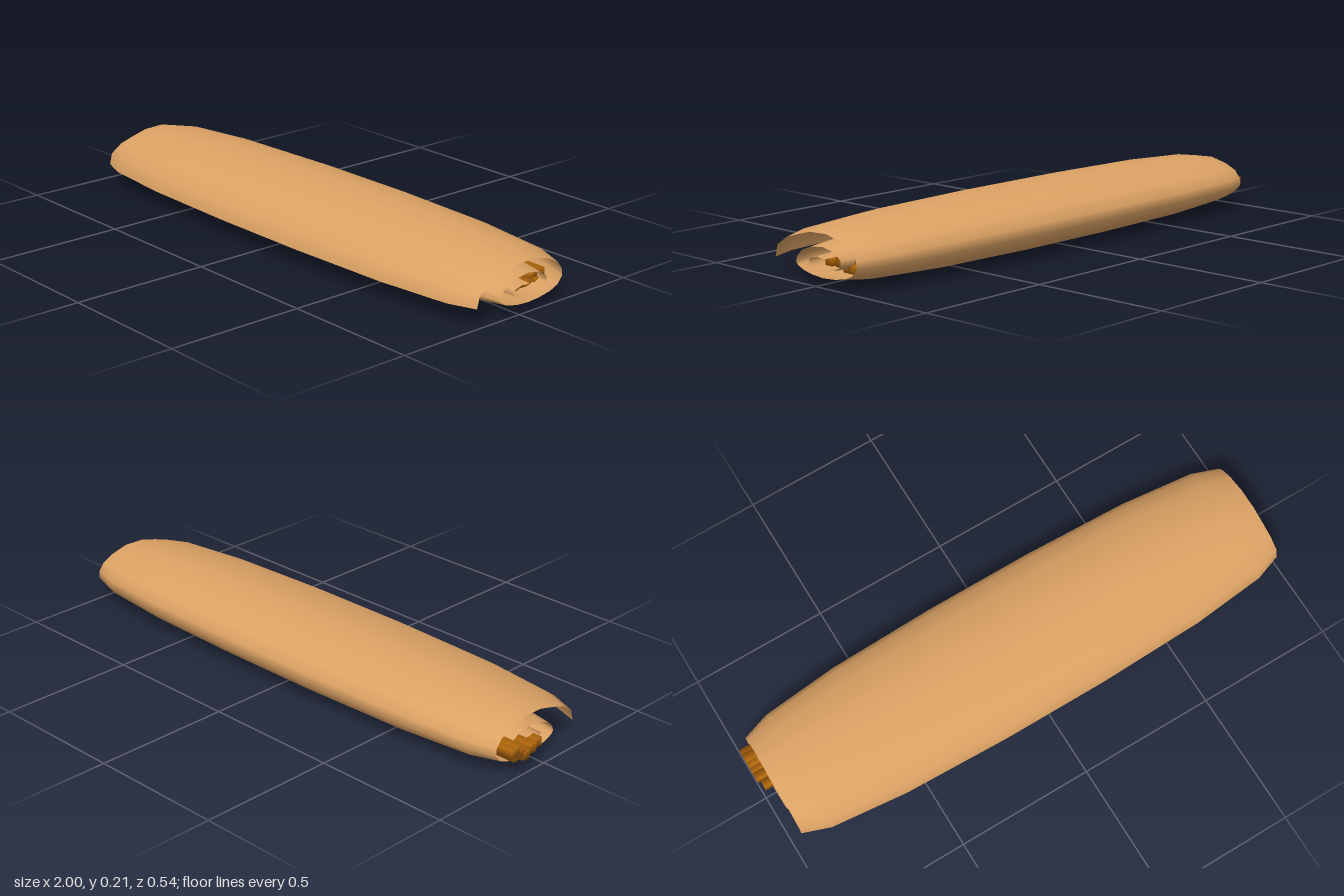
import * as THREE from 'three';
import { mergeVertices } from 'three/addons/utils/BufferGeometryUtils.js';

// Spiral cross-section of the rolled sheet as [z, y], from the loose flap inward
const SPIRAL = [
  [0.27, 0.07], [0.255, 0.125], [0.195, 0.165], [0.12, 0.188], [0.033, 0.211], [-0.077, 0.215],
  [-0.17, 0.193], [-0.235, 0.163], [-0.265, 0.125], [-0.267, 0.09], [-0.24, 0.054], [-0.19, 0.025],
  [-0.12, 0.008], [-0.05, 0.002], [0.02, 0.009], [0.08, 0.026], [0.118, 0.05], [0.13, 0.07],
  [0.122, 0.095], [0.09, 0.125], [0.03, 0.148], [-0.05, 0.157], [-0.12, 0.145], [-0.165, 0.115],
  [-0.165, 0.085], [-0.12, 0.062], [-0.05, 0.05], [0.01, 0.055], [0.045, 0.075], [0.035, 0.098],
  [-0.01, 0.11], [-0.06, 0.105],
];

// Stations along the roll: [x, width scale, height scale above, height scale below]
const HALF = [[0.2, 1, 1, 1], [0.6, 0.955, 0.96, 0.93], [0.88, 0.85, 0.86, 0.74], [0.98, 0.72, 0.75, 0.52]];
const STATIONS = [...HALF.map(([x, ...s]) => [-x, ...s]).reverse(), ...HALF];

function sheetGeometry() {
  const pos = [], index = [], n = SPIRAL.length;
  const midY = 0.07, midZ = -0.005;
  for (const [x, w, up, down] of STATIONS) {
    for (const [z, y] of SPIRAL) {
      const dy = y - midY;
      pos.push(x + 0.02, midY + dy * (dy > 0 ? up : down), midZ + (z - midZ) * w);
    }
  }
  for (let s = 0; s < STATIONS.length - 1; s++) {
    for (let i = 0; i < n - 1; i++) {
      const a = s * n + i, b = a + n;
      index.push(a, b, a + 1, b, b + 1, a + 1);
    }
  }
  const geo = new THREE.BufferGeometry();
  geo.setAttribute('position', new THREE.Float32BufferAttribute(pos, 3));
  geo.setIndex(index);
  geo.computeVertexNormals();
  // normals must point out of the roll: the top of the outer turn faces up
  if (geo.attributes.normal.getY(3 * n + 5) < 0) {
    geo.setIndex(index.slice().reverse());
    geo.computeVertexNormals();
  }
  return geo;
}

// Square stick with softened shading
function stickGeometry(length) {
  let geo = new THREE.BoxGeometry(length, 0.031, 0.031);
  geo.deleteAttribute('normal');
  geo.deleteAttribute('uv');
  geo = mergeVertices(geo);
  geo.computeVertexNormals();
  return geo;
}

export function createModel() {
  const model = new THREE.Group();
  model.name = 'rolledBundle';

  const sheet = new THREE.Mesh(sheetGeometry(),
    new THREE.MeshStandardMaterial({ color: 0xdca264, side: THREE.DoubleSide }));
  sheet.name = 'rolledSheet';
  model.add(sheet);

  // Sticks wrapped in the roll, poking out of one end: [z, y, start x]
  const sticks = new THREE.Group();
  sticks.name = 'sticks';
  const stickMaterial = new THREE.MeshStandardMaterial({ color: 0xb5690c });
  const layout = [
    [-0.02, 0.081, -0.99], [-0.058, 0.079, -1], [-0.092, 0.067, -1], [-0.125, 0.07, -0.99],
    [-0.112, 0.086, -1], [-0.13, 0.099, -1], [-0.15, 0.093, -1],
  ];
  layout.forEach(([z, y, x0], i) => {
    const length = 1.95;
    const stick = new THREE.Mesh(stickGeometry(length), stickMaterial);
    stick.position.set(x0 + length / 2, y, z);
    stick.name = `stick${i + 1}`;
    sticks.add(stick);
  });
  model.add(sticks);
  return model;
}
